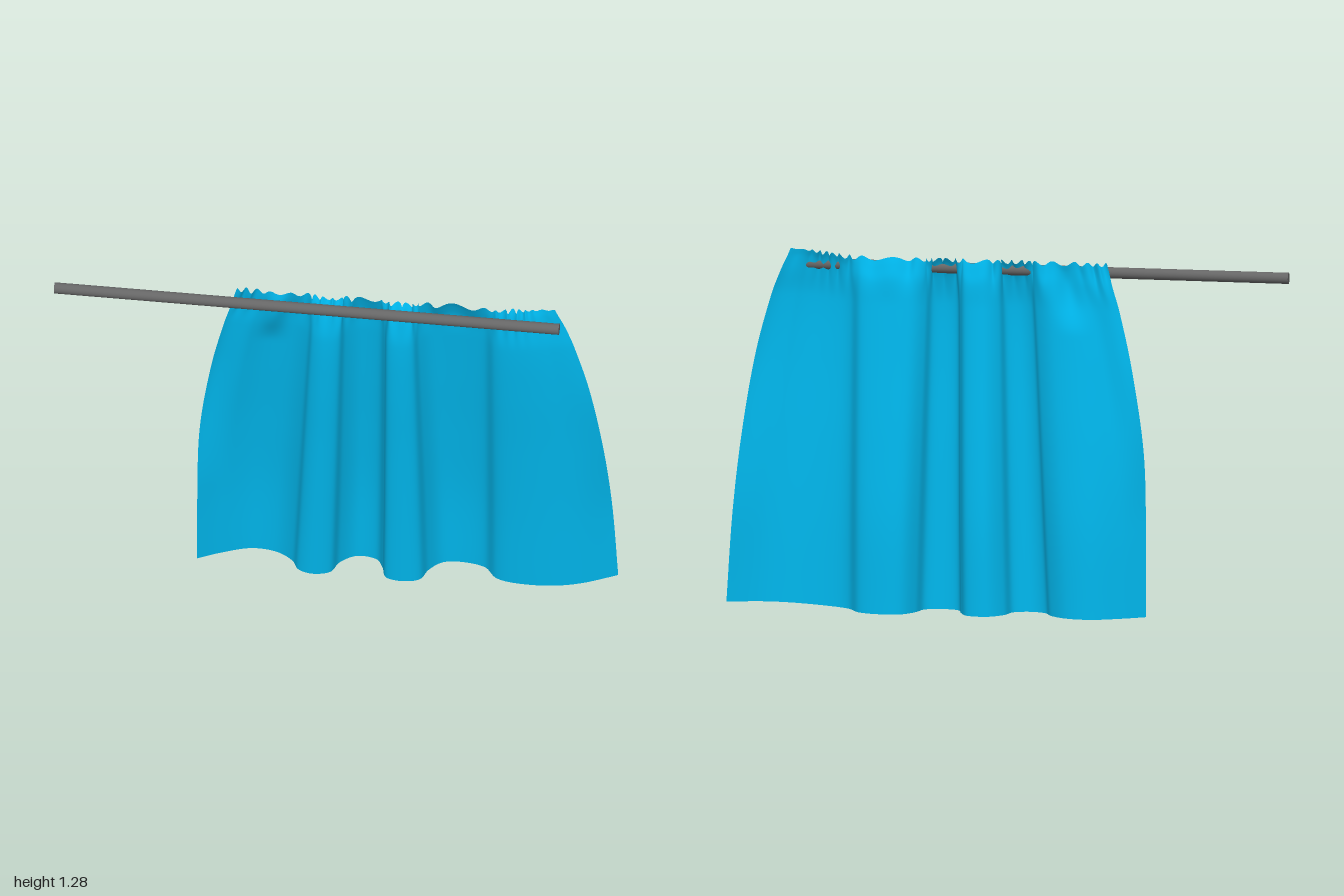
import * as THREE from 'three';

const { lerp, smoothstep } = THREE.MathUtils;

// Smooth interpolation through rows [key, a, b, ...], returning column c
function sample(rows, k, c) {
  const n = rows.length;
  let i = 0;
  while (i < n - 2 && k > rows[i + 1][0]) i++;
  const slope = j => {
    const a = rows[Math.max(j - 1, 0)], b = rows[Math.min(j + 1, n - 1)];
    return (b[c] - a[c]) / (b[0] - a[0]);
  };
  const h = rows[i + 1][0] - rows[i][0], t = (k - rows[i][0]) / h;
  const t2 = t * t, t3 = t2 * t;
  return (2 * t3 - 3 * t2 + 1) * rows[i][c] + (t3 - 2 * t2 + t) * h * slope(i)
    + (3 * t2 - 2 * t3) * rows[i + 1][c] + (t3 - t2) * h * slope(i + 1);
}

// Hem folds seen from above: x, z
const HEM = [
  [-0.50, 0.0], [-0.42, -0.045], [-0.32, -0.085], [-0.23, -0.078], [-0.165, -0.035],
  [-0.135, 0.015], [-0.08, 0.034], [-0.02, 0.014], [0.005, -0.045], [0.06, -0.09],
  [0.13, -0.082], [0.16, -0.035], [0.18, 0.02], [0.24, 0.034], [0.3, 0.015],
  [0.325, -0.045], [0.37, -0.095], [0.44, -0.105], [0.52, -0.085], [0.57, -0.025],
  [0.65, 0.0], [0.77, 0.005], [0.88, -0.018], [1.0, -0.075],
].map(([x, z]) => new THREE.Vector2(x, z));

// Hem x -> gathered x at the heading
const GATHER = [[-0.5, -0.35], [-0.15, -0.075], [0, 0.04], [0.17, 0.19], [0.33, 0.305], [0.57, 0.575], [1, 0.79]];

// Height fraction -> back z, front z, left edge gather, right edge gather
const HANG = [
  [0, -0.105, 0.035, 0, 0], [0.25, -0.092, 0.053, 0.02, 0.09], [0.48, -0.062, 0.071, 0.08, 0.22],
  [0.7, -0.027, 0.091, 0.35, 0.42], [0.87, 0, 0.1, 0.68, 0.68], [0.94, 0.012, 0.09, 0.86, 0.84],
  [0.98, 0.033, 0.075, 0.95, 0.95], [1, 0.046, 0.06, 1, 1],
];

function curtainGeometry(cols = 260, rows = 70) {
  const hem = new THREE.SplineCurve(HEM).getSpacedPoints(cols);
  const pos = [], index = [];
  for (let j = 0; j <= rows; j++) {
    const v = 1 - Math.pow(1 - j / rows, 1.5); // denser rows near the heading
    const [back, front, left, right] = [1, 2, 3, 4].map(c => sample(HANG, v, c));
    const ruffle = Math.pow(smoothstep(v, 0.86, 1), 1.5);
    hem.forEach((p, i) => {
      const u = i / cols;
      // inner folds lean evenly, the outer edges bow outward
      const gather = lerp(lerp(left, v, smoothstep(p.x, -0.45, -0.1)), right, smoothstep(p.x, 0.5, 0.9));
      const x = lerp(p.x, sample(GATHER, p.x, 1), gather);
      // edges turn toward the middle depth as they rise, and a small fold forms at upper left
      const leftTurn = -0.38 * (1 - smoothstep(p.x, -0.5, -0.38)) * smoothstep(v, 0.25, 0.75);
      const rightTurn = 0.2 * smoothstep(p.x, 0.85, 1) * smoothstep(v, 0.2, 0.75);
      const fold = 0.5 * Math.exp(-Math.pow((p.x + 0.31) / 0.05, 2)) * smoothstep(v, 0.8, 0.97);
      const n = (p.y + 0.105) / 0.14 + leftTurn + rightTurn + fold;
      // small irregular gathers, fading below the heading and toward the free edge
      const amount = ruffle * (1 - 0.8 * smoothstep(u, 0.82, 0.95));
      const phase = u * Math.PI * 2 * 22 + 2.5 * Math.sin(u * 23);
      const wave = Math.sin(phase) * (0.7 + 0.3 * Math.sin(u * 41));
      const low = 0.005 + 0.024 * smoothstep(p.x, 0.45, 1.1);
      const top = 1.263 + 0.025 * smoothstep(x, 0.55, 0.79);
      pos.push(
        x + 0.005 * Math.cos(phase) * amount * Math.sin(Math.PI * u),
        lerp(low, top, v) + 0.008 * Math.sin(phase * 1.3 + 1) * amount,
        lerp(back, front, n) + 0.008 * wave * amount
      );
      if (i < cols && j < rows) {
        const a = j * (cols + 1) + i, b = a + cols + 1;
        index.push(a, a + 1, b + 1, a, b + 1, b);
      }
    });
  }
  const g = new THREE.BufferGeometry();
  g.setAttribute('position', new THREE.Float32BufferAttribute(pos, 3));
  g.setIndex(index);
  g.computeVertexNormals();
  return g;
}

export function createModel() {
  const model = new THREE.Group();
  model.name = 'curtainOnRod';

  // Hanging cloth
  const curtain = new THREE.Mesh(
    curtainGeometry(),
    new THREE.MeshStandardMaterial({ color: 0x00b5ea, side: THREE.DoubleSide })
  );
  curtain.name = 'curtain';

  // Horizontal rod, extending past the cloth on one side
  const rod = new THREE.Mesh(
    new THREE.CylinderGeometry(0.02, 0.02, 1.81, 24),
    new THREE.MeshStandardMaterial({ color: 0x666666 })
  );
  rod.name = 'rod';
  rod.rotation.z = Math.PI / 2;
  rod.position.set(-0.095, 1.23, 0.085);

  model.add(curtain, rod);
  return model;
}
